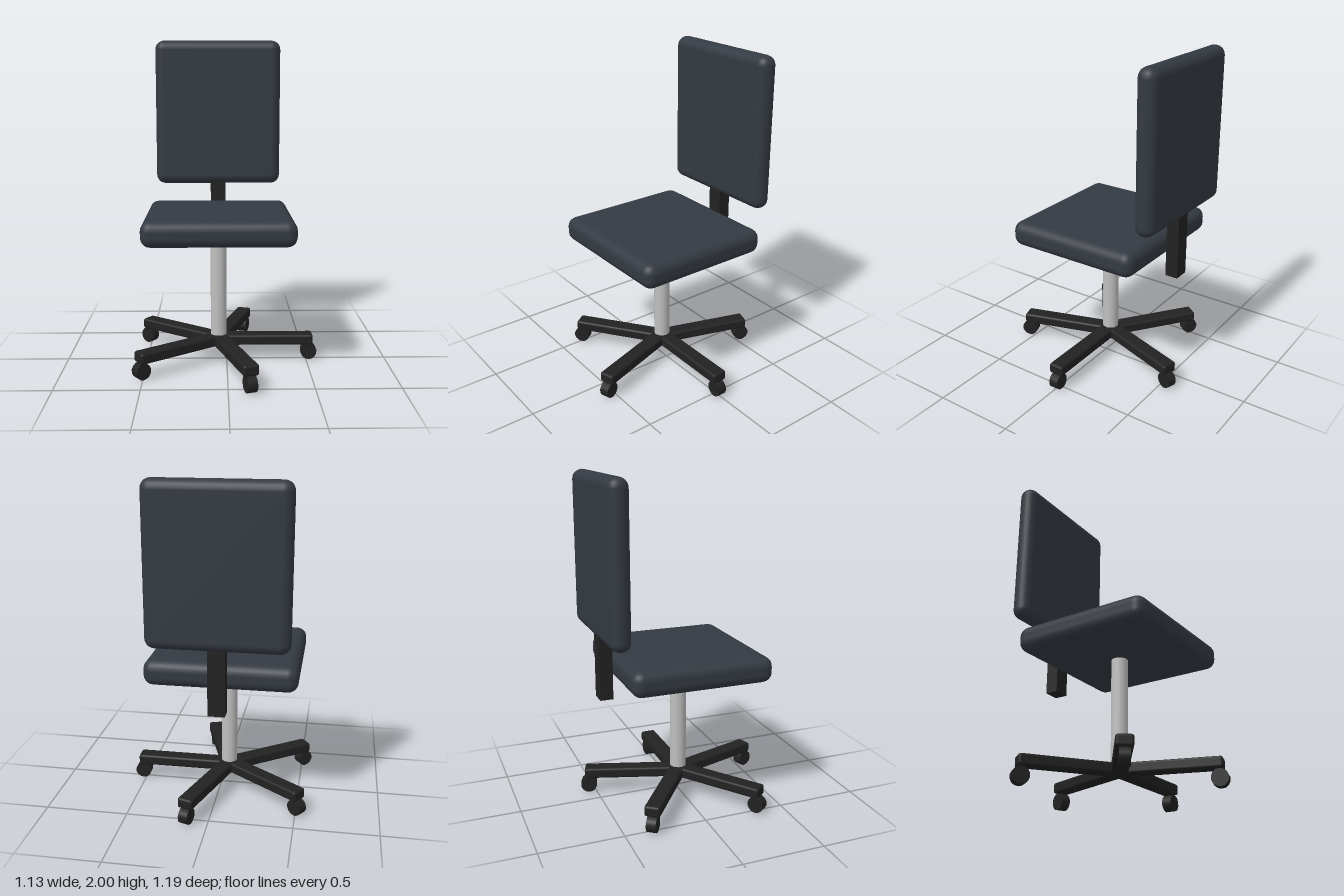
import * as THREE from 'three';
import { RoundedBoxGeometry } from 'three/addons/geometries/RoundedBoxGeometry.js';

export function createModel() {
  const fabric = new THREE.MeshStandardMaterial({ color: 0x343a42 });
  fabric.name = 'slate fabric';
  const plastic = new THREE.MeshStandardMaterial({ color: 0x222222 });
  plastic.name = 'black plastic';
  const steel = new THREE.MeshStandardMaterial({ color: 0xc0c0c0 });
  steel.name = 'light steel';

  const model = new THREE.Group();
  model.name = 'officeChair';
  const axisX = -0.05; // the column stands slightly off the centre

  const add = (parent, name, geometry, material, x, y, z) => {
    const mesh = new THREE.Mesh(geometry, material);
    mesh.name = name;
    mesh.position.set(x, y, z);
    parent.add(mesh);
    return mesh;
  };

  // Cushions
  add(model, 'seat', new RoundedBoxGeometry(0.9, 0.155, 0.86, 3, 0.06), fabric, axisX, 0.878, 0);
  add(model, 'backrest', new RoundedBoxGeometry(0.82, 0.94, 0.12, 3, 0.058), fabric, axisX, 1.53, -0.475);

  // Upright bar carrying the backrest
  add(model, 'backPost', new THREE.BoxGeometry(0.1, 0.5, 0.08), plastic, axisX, 0.93, -0.472);

  // Gas column
  add(model, 'column', new THREE.CylinderGeometry(0.05, 0.05, 0.7, 24), steel, axisX, 0.48, 0);

  // Five-armed base with a caster under each tip
  const armGeometry = new RoundedBoxGeometry(0.6, 0.065, 0.096, 2, 0.014);
  const wheelGeometry = new THREE.CylinderGeometry(0.05, 0.05, 0.058, 14).rotateX(Math.PI / 2);
  for (let i = 0; i < 5; i++) {
    const arm = new THREE.Group();
    arm.name = `baseArm${i + 1}`;
    arm.position.x = axisX;
    arm.rotation.y = (i * Math.PI * 2) / 5;
    add(arm, 'armBar', armGeometry, plastic, 0.29, 0.1325, 0);
    add(arm, 'caster', wheelGeometry, plastic, 0.567, 0.05, 0);
    model.add(arm);
  }
  return model;
}
